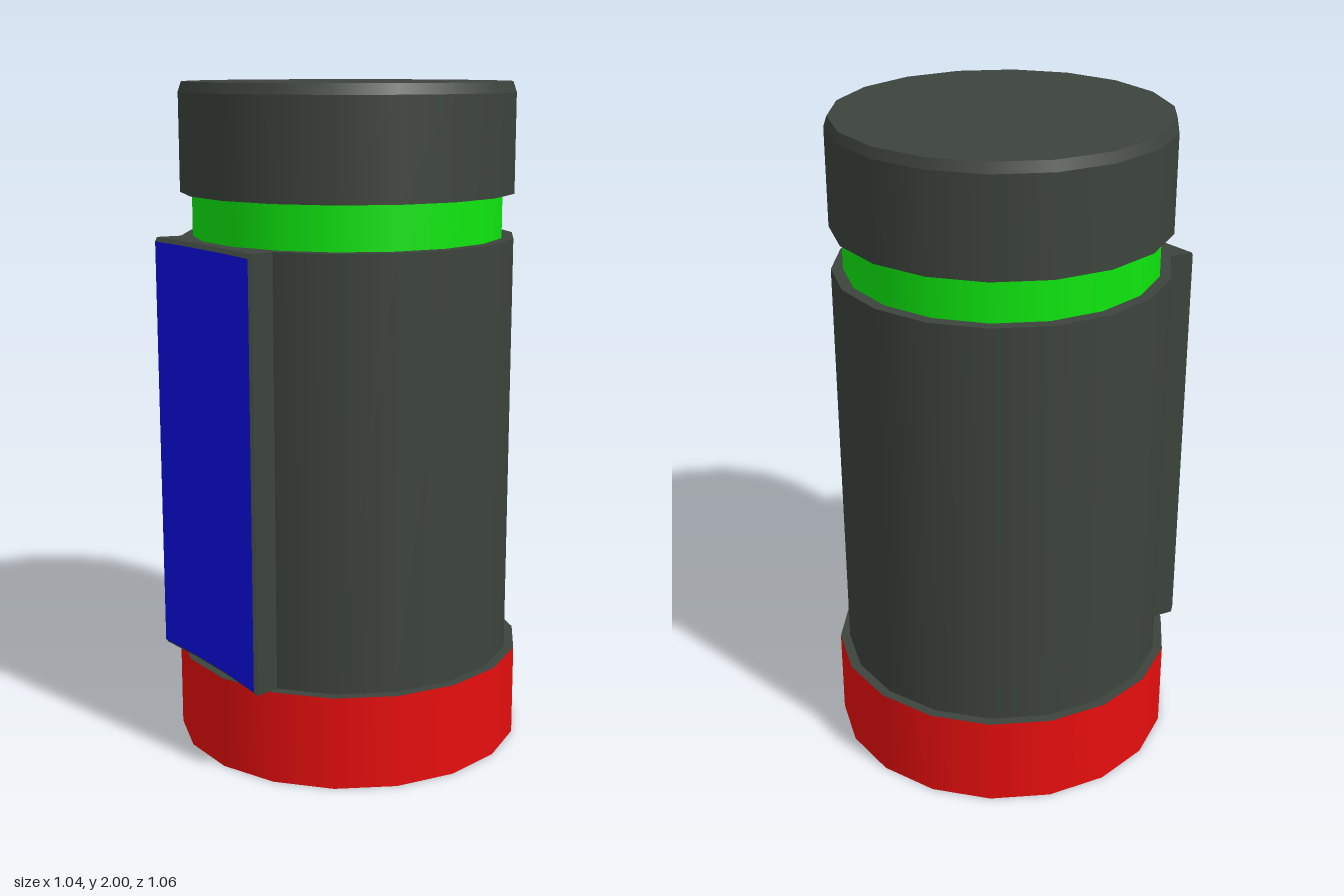
import * as THREE from 'three';

const SIDES = 18;

const darkGrey = new THREE.MeshStandardMaterial({ color: 0x3c433c });
darkGrey.name = 'dark grey';
const red = new THREE.MeshStandardMaterial({ color: 0xe80e0e });
red.name = 'red';
const green = new THREE.MeshStandardMaterial({ color: 0x0ee80e });
green.name = 'green';
const blue = new THREE.MeshStandardMaterial({ color: 0x0e0ee8 });
blue.name = 'blue';

// Upright drum between two heights; its flat ends are always grey
function drum(name, bottomRadius, topRadius, y0, y1, material, open = false) {
  const geometry = new THREE.CylinderGeometry(topRadius, bottomRadius, y1 - y0, SIDES, 1, open);
  geometry.translate(0, (y0 + y1) / 2, 0);
  const mesh = new THREE.Mesh(geometry, [material, darkGrey, darkGrey]);
  mesh.name = name;
  return mesh;
}

// Flat-shaded mesh from a list of four-cornered faces
function quadMesh(name, quads, material) {
  const points = quads.flatMap(([a, b, c, d]) => [a, b, c, a, c, d]);
  const geometry = new THREE.BufferGeometry().setFromPoints(points);
  geometry.computeVertexNormals();
  const mesh = new THREE.Mesh(geometry, material);
  mesh.name = name;
  return mesh;
}

// Closed loop of a panel section: top row forward, bottom row back
function panelLoop(edgeX, edgeZ, midX, midZ, y0, y1) {
  const row = [[edgeX, -edgeZ], [midX, -midZ], [midX, midZ], [edgeX, edgeZ]];
  return [
    ...row.map(([x, z]) => new THREE.Vector3(x, y1, z)),
    ...row.slice().reverse().map(([x, z]) => new THREE.Vector3(x, y0, z)),
  ];
}

function sidePanel() {
  const group = new THREE.Group();
  group.name = 'sidePanel';
  const loops = [
    panelLoop(-0.433, 0.25, -0.492, 0.087, 0.28, 1.55),   // root on the body
    panelLoop(-0.507, 0.263, -0.497, 0.087, 0.28, 1.55),  // shoulder
    panelLoop(-0.517, 0.257, -0.508, 0.087, 0.292, 1.538), // bevelled lip
  ];
  const frame = [];
  for (let k = 0; k < 2; k++) {
    const a = loops[k], b = loops[k + 1];
    for (let i = 0; i < 8; i++) {
      const j = (i + 1) % 8;
      frame.push([b[i], b[j], a[j], a[i]]);
    }
  }
  const lip = loops[2];
  const face = [0, 1, 2].map((i) => [lip[7 - i], lip[6 - i], lip[i + 1], lip[i]]);
  group.add(quadMesh('panelFrame', frame, darkGrey), quadMesh('panelFace', face, blue));
  return group;
}

export function createModel() {
  const model = new THREE.Group();
  model.name = 'canister';
  model.add(
    drum('base', 0.53, 0.53, 0, 0.28, red),
    drum('body', 0.5, 0.5, 0.28, 1.55, darkGrey),
    drum('neckBand', 0.465, 0.465, 1.55, 1.68, green, true),
    drum('cap', 0.5, 0.5, 1.68, 1.97, darkGrey),
    drum('capBevel', 0.5, 0.49, 1.97, 2, darkGrey),
    sidePanel(),
  );
  return model;
}
